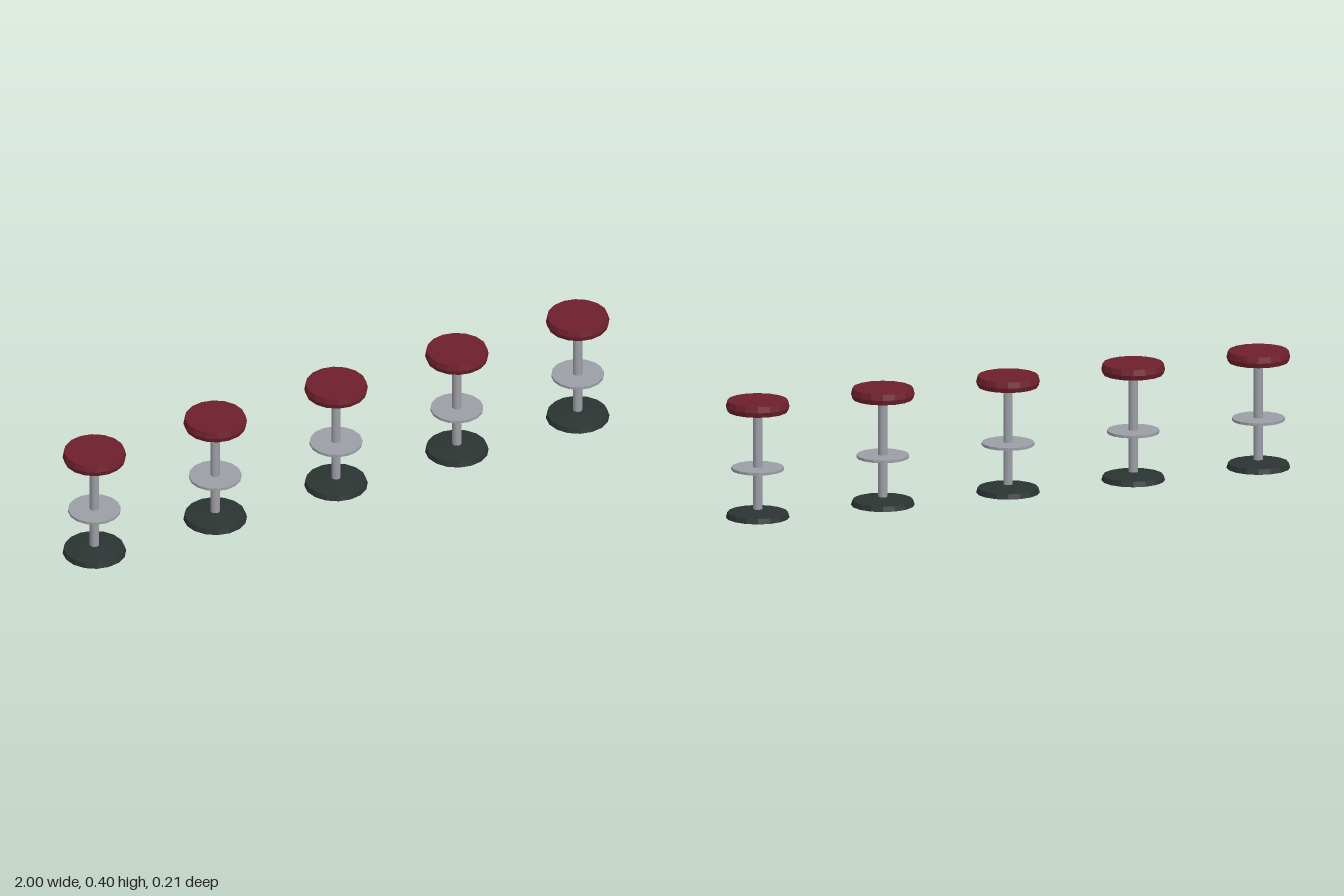
import * as THREE from 'three';

const SIDES = 16;

// Solid of revolution with flat facets, from [radius, height] points running bottom to top
function turned(name, points, material) {
  const profile = points.map(([r, y]) => new THREE.Vector2(r, y));
  const geometry = new THREE.LatheGeometry(profile, SIDES).toNonIndexed();
  geometry.computeVertexNormals();
  const mesh = new THREE.Mesh(geometry, material);
  mesh.name = name;
  return mesh;
}

export function createModel() {
  const make = (name, color) => {
    const m = new THREE.MeshStandardMaterial({ color, flatShading: true });
    m.name = name;
    return m;
  };
  const red = make('dark red leather', 0x6e202c);
  const steel = make('grey steel', 0x9c9ea6);
  const iron = make('dark iron', 0x2b3432);

  const model = new THREE.Group();
  model.name = 'barStools';

  // Five identical stools in a row
  for (let i = 0; i < 5; i++) {
    const stool = new THREE.Group();
    stool.name = `stool${i + 1}`;
    stool.position.x = (i - 2) * 0.4475;
    stool.add(
      // Shallow conical foot plate
      turned('base', [[0, 0], [0.105, 0], [0.1, 0.017], [0.016, 0.028], [0, 0.028]], iron),
      // Central column
      turned('pole', [[0.0155, 0.02], [0.0155, 0.365]], steel),
      // Thin round footrest
      turned('footrest', [[0, 0.161], [0.087, 0.161], [0.087, 0.17], [0, 0.17]], steel),
      // Padded seat, widest just below the middle
      turned('seat', [[0, 0.36], [0.1, 0.36], [0.105, 0.376], [0.1, 0.396], [0, 0.396]], red),
    );
    model.add(stool);
  }
  return model;
}
